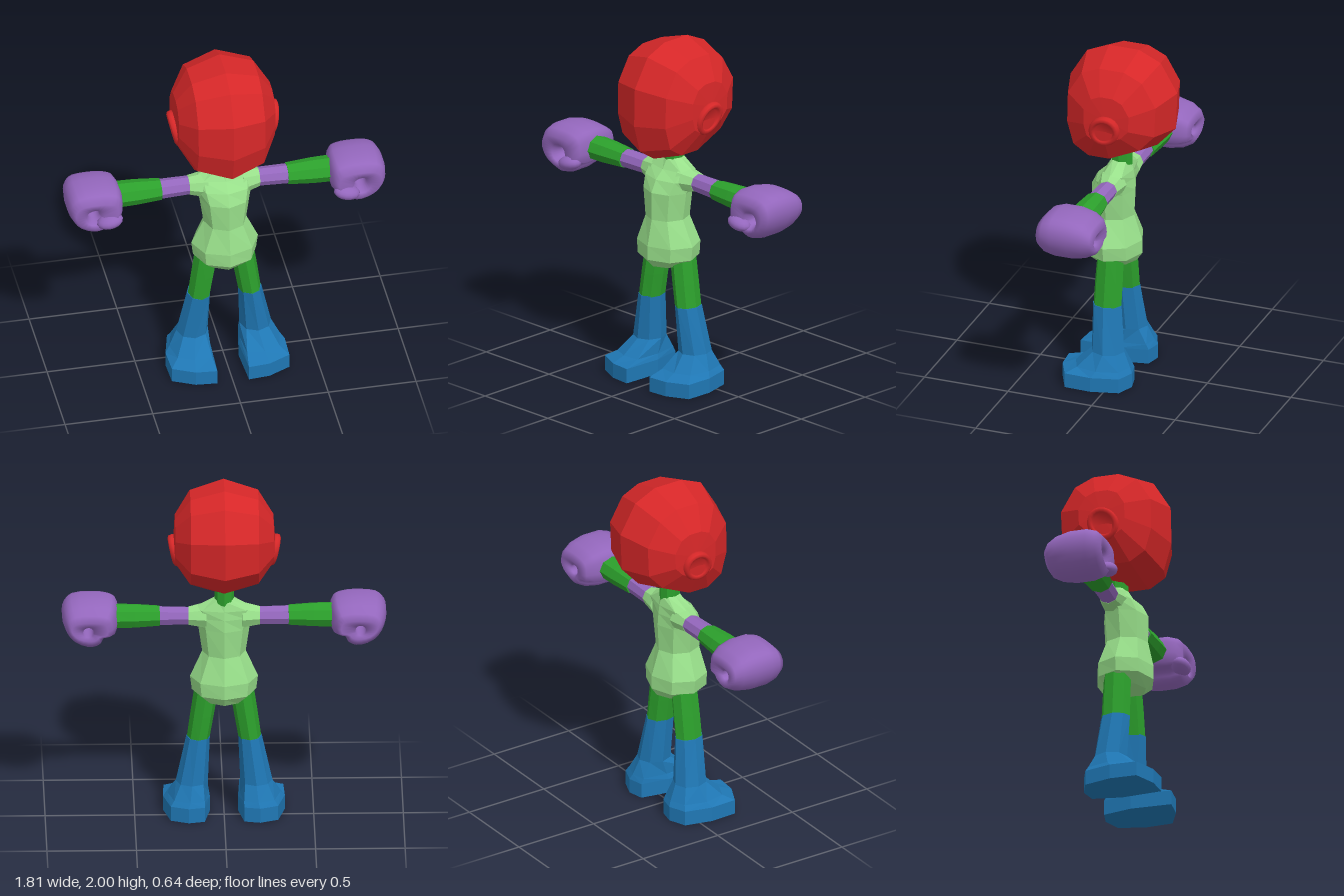
import * as THREE from 'three';

const V = (x, y, z) => new THREE.Vector3(x, y, z);
const RED = 0xd62728, GREEN = 0x2ca02c, PALE = 0x98df8a, BLUE = 0x1f77b4, PURPLE = 0x9467bd;

// Skin a list of equal-length rings; capped at both ends, or joined end to start.
// tips optionally gives the centre points of the two caps.
function loft(name, color, rings, { smooth = false, closed = false, tips = [] } = {}) {
  const n = rings[0].length, pts = rings.flat(), idx = [];
  const last = rings.length - 1;
  for (let r = 0; r < (closed ? rings.length : last); r++) {
    const a = r * n, b = ((r + 1) % rings.length) * n;
    for (let i = 0; i < n; i++) {
      const j = (i + 1) % n;
      idx.push(a + i, b + i, b + j, a + i, b + j, a + j);
    }
  }
  if (!closed) {
    [0, last].forEach((r, end) => {
      const mid = V(0, 0, 0);
      rings[r].forEach(p => mid.addScaledVector(p, 1 / n));
      const c = pts.push(tips[end] || mid) - 1;
      for (let i = 0; i < n; i++) {
        const a = r * n + i, b = r * n + (i + 1) % n;
        idx.push(c, end ? b : a, end ? a : b);
      }
    });
  }
  // Turn the surface outward if its volume comes out negative
  let volume = 0;
  for (let k = 0; k < idx.length; k += 3) {
    volume += pts[idx[k]].dot(pts[idx[k + 1]].clone().cross(pts[idx[k + 2]]));
  }
  if (volume < 0) idx.reverse();
  const geo = new THREE.BufferGeometry().setFromPoints(pts);
  geo.setIndex(idx);
  geo.computeVertexNormals();
  const mesh = new THREE.Mesh(geo, new THREE.MeshStandardMaterial({ color, flatShading: !smooth }));
  mesh.name = name;
  return mesh;
}

// Points around an ellipse
const around = (n, f) => Array.from({ length: n }, (_, i) => {
  const a = i / n * Math.PI * 2;
  return f(Math.sin(a), -Math.cos(a));
});
const flatRing = (y, cx, cz, rx, rz, n = 8) => around(n, (s, c) => V(cx + s * rx, y, cz + c * rz));
const armRing = (s, x, ry, rz, cz = 0.025) => around(8, (a, c) => V(s * x, 1.2 + a * ry, cz + c * rz));

function makeHead() {
  // Side profile (z, y), shrunk toward each side of the head
  const profile = [[0.17, 1.33], [0.02, 1.33], [-0.2, 1.43], [-0.31, 1.55], [-0.32, 1.77], [-0.22, 1.94],
    [-0.09, 2], [0.09, 2], [0.22, 1.945], [0.32, 1.78], [0.325, 1.56], [0.28, 1.4]];
  const rings = [[-0.275, 0.42], [-0.19, 0.82], [0, 1], [0.19, 0.82], [0.275, 0.42]]
    .map(([x, k]) => profile.map(([z, y]) => V(x, 1.67 + (y - 1.67) * k, z * k)));
  return loft('head', RED, rings, { tips: [V(-0.285, 1.67, 0), V(0.285, 1.67, 0)] });
}

// Tilted disc with a raised rim
function makeEar(s) {
  const rings = [[0.23, 1], [0.275, 1], [0.292, 0.93], [0.299, 0.8], [0.295, 0.66], [0.28, 0.57]]
    .map(([x, k]) => around(20, (a, c) => {
      const dy = c * 0.098 * k;
      return V(s * (x + dy * 0.22), 1.6 + dy, 0.012 + a * 0.093 * k - dy * 0.15);
    }));
  return loft('ear', RED, rings, { smooth: true });
}

// Curled fist with a gap running through the grip
function makeFist(s) {
  const group = new THREE.Group();
  group.name = 'fist';
  const cx = 0.76, cy = 1.17;
  const outline = new THREE.CatmullRomCurve3([[0.6, 1.13], [0.665, 1.105], [0.69, 1.06], [0.75, 1.04],
    [0.845, 1.08], [0.9, 1.17], [0.9, 1.25], [0.86, 1.3], [0.74, 1.315], [0.65, 1.305], [0.605, 1.28]]
    .map(([x, y]) => V(x, y, 0)), true).getPoints(28).slice(0, 28);
  const shell = [[-0.15, 0.4], [-0.13, 0.65], [-0.08, 0.87], [0, 1], [0.1, 1], [0.155, 0.88], [0.19, 0.62]]
    .map(([z, k]) => outline.map(p =>
      V(s * (cx + (p.x - cx) * (0.4 + 0.6 * k)), cy + (p.y - cy) * k, z)));
  const hole = [[0.17, 0.052], [0.12, 0.034], [-0.12, 0.03]].map(([z, r]) => outline.map(p => {
    const d = V(p.x - cx, p.y - cy, 0).setLength(r);
    return V(s * (cx + d.x), cy - 0.01 + d.y, z);
  }));
  group.add(loft('hand', PURPLE, [...shell, ...hole], { smooth: true, closed: true }));
  const thumb = new THREE.Mesh(new THREE.SphereGeometry(1, 14, 10),
    new THREE.MeshStandardMaterial({ color: PURPLE }));
  thumb.name = 'thumb';
  thumb.scale.set(0.075, 0.04, 0.055);
  thumb.position.set(s * 0.675, 1.125, 0.165);
  thumb.rotation.z = -s * 0.2;
  group.add(thumb);
  return group;
}

function makeArm(s) {
  const group = new THREE.Group();
  group.name = s > 0 ? 'leftArm' : 'rightArm';
  group.add(
    loft('upperArm', PURPLE, [armRing(s, 0.1, 0.05, 0.055, 0.02), armRing(s, 0.2, 0.052, 0.056, 0.02),
      armRing(s, 0.37, 0.055, 0.06)]),
    loft('forearm', GREEN, [armRing(s, 0.36, 0.058, 0.068), armRing(s, 0.5, 0.068, 0.08),
      armRing(s, 0.64, 0.07, 0.085)]),
    makeFist(s));
  return group;
}

function makeLeg(s) {
  const group = new THREE.Group();
  group.name = s > 0 ? 'leftLeg' : 'rightLeg';
  group.add(loft('thigh', GREEN, [flatRing(0.45, s * 0.145, 0.043, 0.064, 0.083),
    flatRing(0.6, s * 0.122, 0.042, 0.067, 0.082), flatRing(0.78, s * 0.095, 0.04, 0.068, 0.078)]));

  // Boot: sole outline (x, z) from the heel round the outside, then up to the cuff
  const sole = [[0.2, -0.125], [0.3, -0.085], [0.34, 0.07], [0.335, 0.225],
    [0.21, 0.285], [0.09, 0.295], [0.078, 0.06], [0.11, -0.105]];
  const instep = [[0.19, -0.11], [0.28, -0.075], [0.315, 0.05], [0.29, 0.17],
    [0.2, 0.21], [0.1, 0.2], [0.088, 0.05], [0.11, -0.09]];
  const outline = (y, list) => list.map(([x, z]) => V(s * x, y, z));
  const cuff = (y, x, z, rx, rz) => flatRing(y, x, z, rx, rz).map(p => V(s * p.x, p.y, p.z));
  group.add(loft('boot', BLUE, [outline(0, sole), outline(0.085, sole), outline(0.115, instep),
    cuff(0.2, 0.18, 0.025, 0.09, 0.097), cuff(0.465, 0.145, 0.043, 0.066, 0.085)]));
  return group;
}

export function createModel() {
  const model = new THREE.Group();
  model.name = 'figure';

  // Torso rings: y, centre z, half width, half depth
  const torso = [[0.69, 0.05, 0.11, 0.125], [0.74, 0.055, 0.18, 0.165], [0.82, 0.055, 0.19, 0.165],
    [0.97, 0.063, 0.122, 0.125], [1.13, 0.06, 0.145, 0.13], [1.2, 0.045, 0.165, 0.11],
    [1.25, 0.022, 0.175, 0.08], [1.31, 0.012, 0.055, 0.055]]
    .map(([y, cz, rx, rz]) => flatRing(y, 0, cz, rx, rz));
  model.add(loft('torso', PALE, torso, { tips: [V(0, 0.66, 0.05)] }));
  model.add(loft('neck', GREEN, [flatRing(1.27, 0, 0.012, 0.055, 0.062),
    flatRing(1.45, 0, 0.01, 0.055, 0.062)]));

  model.add(makeHead());
  for (const s of [1, -1]) {
    // Shoulder blends the torso into the arm
    model.add(loft('shoulder', PALE, [armRing(s, 0.1, 0.075, 0.085, 0.03), armRing(s, 0.2, 0.054, 0.058, 0.02)]));
    model.add(makeEar(s), makeArm(s), makeLeg(s));
  }
  return model;
}
